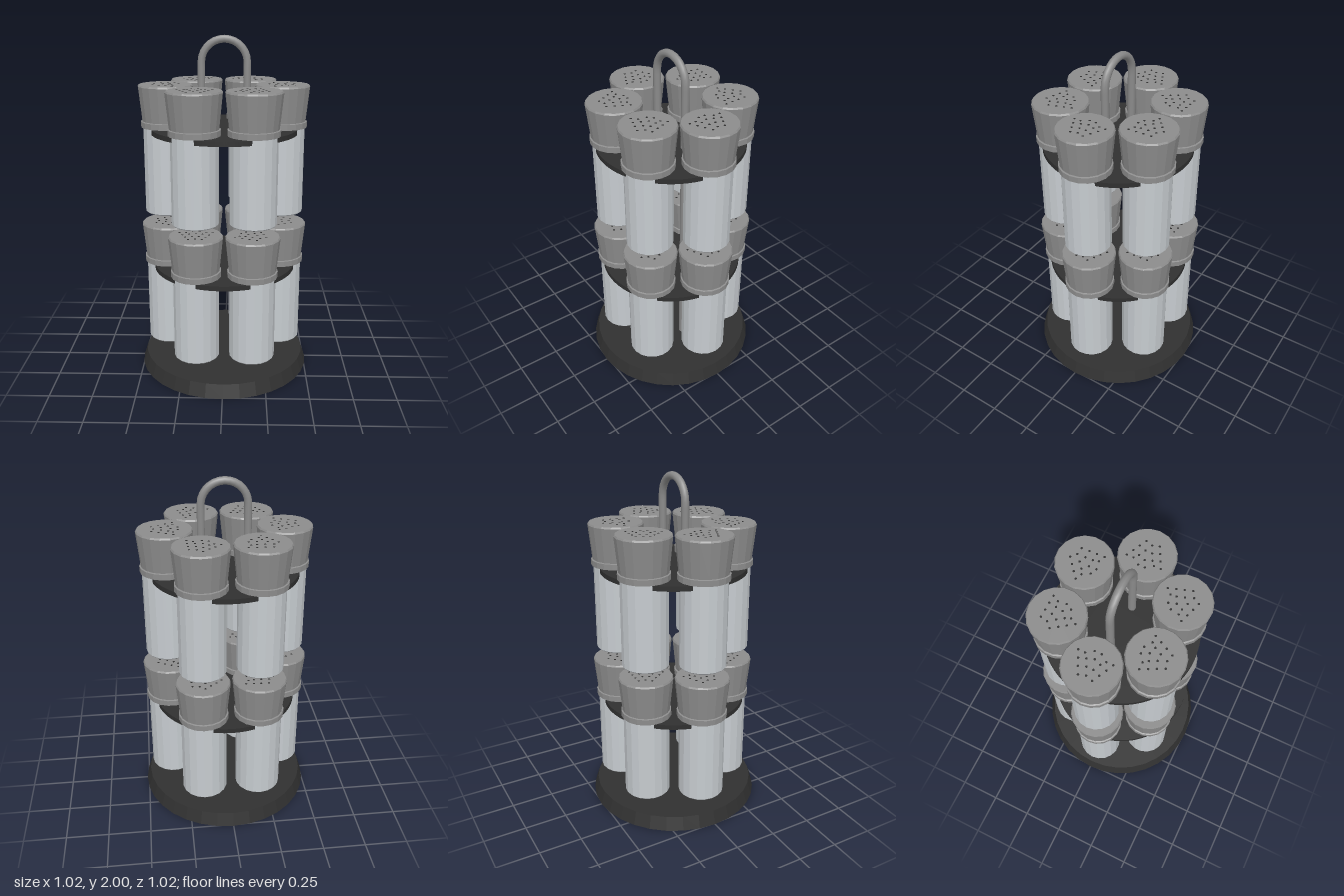
import * as THREE from 'three';

const mat = (name, color, extra = {}) => {
  const m = new THREE.MeshStandardMaterial({ color, flatShading: true, ...extra });
  m.name = name;
  return m;
};

// Jar centres (x, z) and turn in degrees, counter-clockwise from the +x side
const JARS = [
  [0.332, -0.011, 90], [0.154, -0.286, 156], [-0.173, -0.276, -118],
  [-0.337, 0, -90], [-0.157, 0.264, 0], [0.168, 0.264, 45],
];
const SIDES = 18, TIER_STEP = 0.82;

// Shaker holes: mirrored in x
const HOLES = [[0.019, -0.074], [0.058, -0.047], [0.096, -0.047], [0, -0.036], [0.038, -0.022],
  [0.077, -0.008], [0.019, 0.016], [0.058, 0.03], [0, 0.058], [0.038, 0.069]];

const lathe = (pts, sides) =>
  new THREE.LatheGeometry(pts.map(([r, y]) => new THREE.Vector2(r, y)), sides);

function add(parent, name, geometry, material) {
  const mesh = new THREE.Mesh(geometry, material);
  mesh.name = name;
  parent.add(mesh);
  return mesh;
}

// Disc with a round notch cut into its rim for each jar
function shelfGeometry(R, r, depth) {
  const notches = JARS.map(([x, z]) => {
    const d = Math.hypot(x, z);
    return { x, y: -z, a: Math.atan2(-z, x), h: Math.acos((R * R + d * d - r * r) / (2 * R * d)) };
  });
  const shape = new THREE.Shape();
  notches.forEach((n, i) => {
    const next = notches[(i + 1) % notches.length];
    const toward = (t) => Math.atan2(R * Math.sin(t) - n.y, R * Math.cos(t) - n.x);
    const from = n.a - n.h, to = n.a + n.h;
    if (i === 0) shape.moveTo(R * Math.cos(from), R * Math.sin(from));
    shape.absarc(n.x, n.y, r, toward(from), toward(to), true);
    shape.absarc(0, 0, R, to, next.a - next.h, false);
  });
  const g = new THREE.ExtrudeGeometry(shape, { depth, bevelEnabled: false, curveSegments: 12 });
  return g.rotateX(-Math.PI / 2);
}

export function createModel() {
  const model = new THREE.Group();
  model.name = 'jarRack';
  const black = mat('black plastic', 0x303030);
  const glass = mat('pale glass', 0xc6cbcf);
  const lidGrey = mat('grey lid', 0x8c8c8c);
  const steel = mat('steel', 0x8a8a8a);
  steel.flatShading = false;

  // Tapered base
  add(model, 'base', lathe([[0, 0], [0.512, 0], [0.487, 0.08], [0, 0.08]], 32), black);

  // Bent carrying rod: two legs joined by a half circle
  const rod = new THREE.CurvePath();
  const v = (x, y) => new THREE.Vector3(x, y, 0);
  const bend = [];
  for (let i = 0; i <= 12; i++) {
    const t = Math.PI * (1 - i / 12);
    bend.push(v(0.13 * Math.cos(t), 1.848 + 0.13 * Math.sin(t)));
  }
  rod.add(new THREE.LineCurve3(v(-0.13, 0.07), bend[0]));
  rod.add(new THREE.CatmullRomCurve3(bend));
  rod.add(new THREE.LineCurve3(bend[12], v(0.13, 0.07)));
  add(model, 'handle', new THREE.TubeGeometry(rod, 140, 0.022, 10), steel);

  // Shared jar geometries
  const body = lathe([[0, 0.155], [0.128, 0.155], [0.134, 0.162], [0.134, 0.68], [0, 0.68]], SIDES);
  const lid = lathe([[0, 0.663], [0.146, 0.663], [0.146, 0.696], [0.138, 0.699],
    [0.158, 0.896], [0.152, 0.905], [0, 0.905]], SIDES);
  const dot = new THREE.CylinderGeometry(0.0065, 0.0065, 0.002, 8);
  const shelf = shelfGeometry(0.425, 0.131, 0.028);

  for (let t = 0; t < 2; t++) {
    const tier = new THREE.Group();
    tier.name = t ? 'upperTier' : 'lowerTier';
    tier.position.y = t * TIER_STEP;
    model.add(tier);
    add(tier, 'shelf', shelf, black).position.y = 0.633;

    for (const [x, z, turn] of JARS) {
      const jar = new THREE.Group();
      jar.name = 'jar';
      jar.position.set(x, 0, z);
      jar.rotation.y = THREE.MathUtils.degToRad(turn);
      tier.add(jar);
      add(jar, 'jarBody', body, glass);
      add(jar, 'jarLid', lid, lidGrey);
      for (const [hx, hz] of HOLES) {
        for (const s of hx ? [-1, 1] : [1]) {
          add(jar, 'shakerHole', dot, black).position.set(s * hx, 0.905, hz);
        }
      }
    }
  }
  return model;
}
